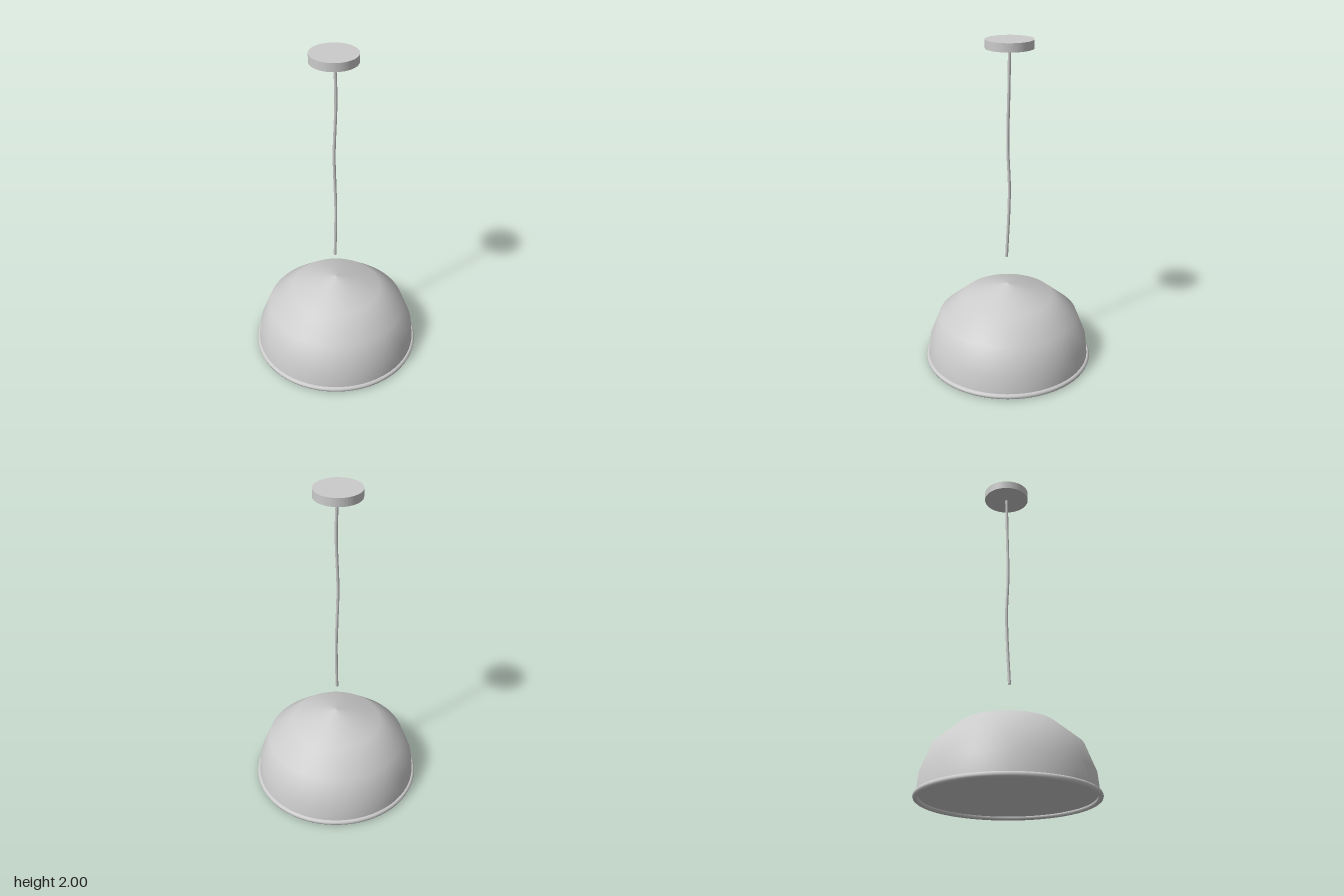
import * as THREE from 'three';

const grey = new THREE.MeshStandardMaterial({ color: 0xcccccc });

export function createModel() {
  const group = new THREE.Group();
  const add = (name, geometry, x = 0, y = 0, z = 0) => {
    const mesh = new THREE.Mesh(geometry, grey);
    mesh.name = name;
    mesh.position.set(x, y, z);
    group.add(mesh);
    return mesh;
  };

  // Domed shade, few rings but smooth around, tip at the top
  const profile = [[0.503, 0.02], [0.491, 0.14], [0.43, 0.296], [0.279, 0.424], [0, 0.502]]
    .map(([r, y]) => new THREE.Vector2(r, y));
  add('shade', new THREE.LatheGeometry(profile, 64));

  // Flat disc closing the underside
  add('diffuser', new THREE.CircleGeometry(0.505, 64).rotateX(Math.PI / 2), 0, 0.02, 0);

  // Rolled rim
  add('rim', new THREE.TorusGeometry(0.503, 0.016, 10, 64).rotateX(Math.PI / 2), 0, 0.016, 0);

  // Gently wavy cord with closed ends
  const path = new THREE.CatmullRomCurve3([
    [-0.009, 0.68, 0.004], [0.002, 1.0, -0.006], [0, 1.15, -0.01], [-0.009, 1.38, -0.006],
    [0.002, 1.72, -0.005], [-0.001, 1.96, -0.012],
  ].map((p) => new THREE.Vector3(...p)));
  const cordRadius = 0.009;
  add('cord', new THREE.TubeGeometry(path, 40, cordRadius, 8));
  const end = path.getPoint(0);
  add('cordEnd', new THREE.CircleGeometry(cordRadius, 8).rotateX(Math.PI / 2), end.x, end.y, end.z);

  // Ceiling canopy
  add('canopy', new THREE.CylinderGeometry(0.138, 0.138, 0.05, 48), -0.004, 1.975, -0.015);

  return group;
}
